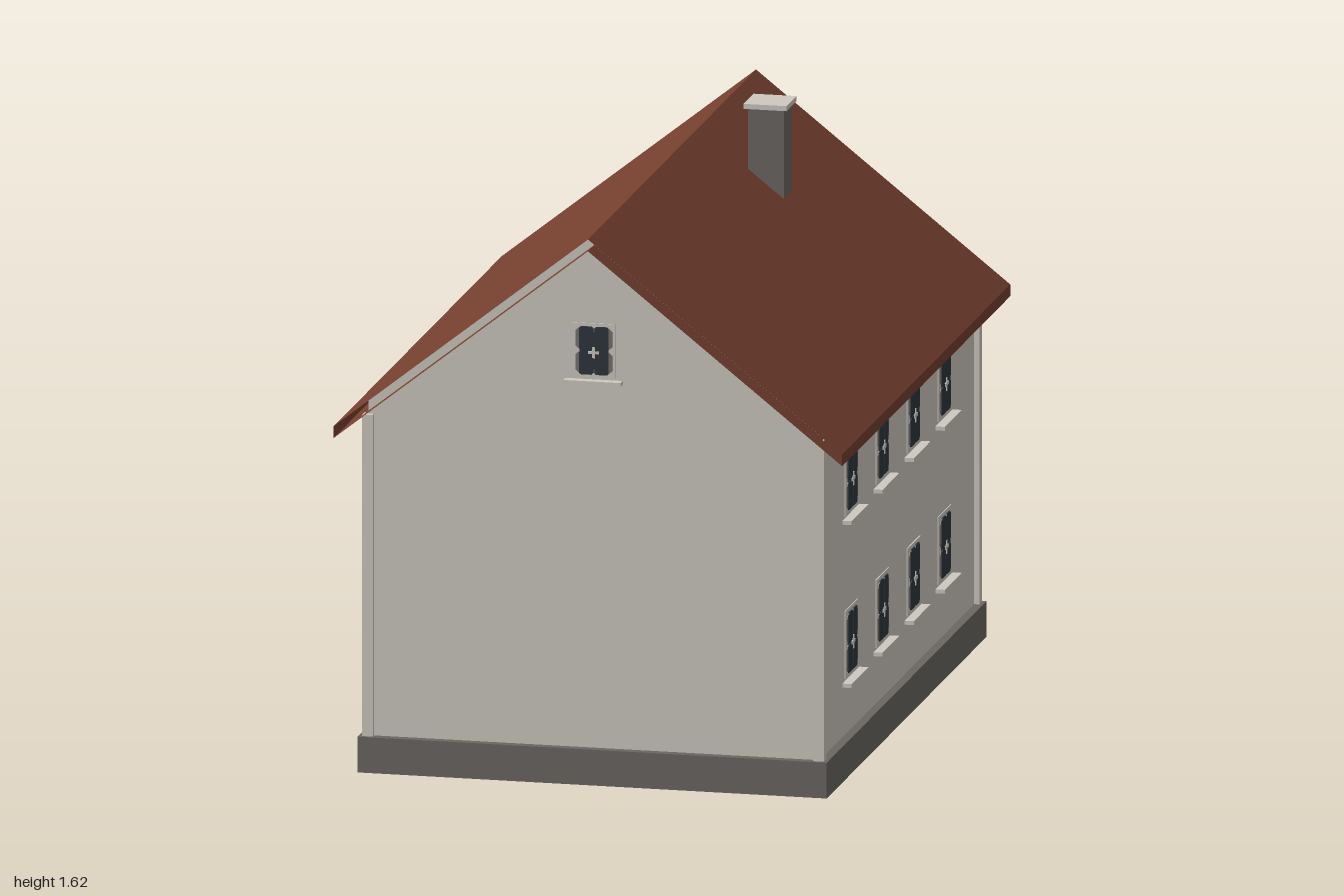
import * as THREE from 'three';

const mat = (name, color, side = THREE.FrontSide) => {
  const m = new THREE.MeshStandardMaterial({ color, side });
  m.name = name;
  return m;
};

export function createModel() {
  const house = new THREE.Group();
  house.name = 'house';

  const plaster = mat('plaster', 0xcdc9c0);
  const stone = mat('stone', 0x6a6662);
  const tile = mat('roofTile', 0x743e2e, THREE.DoubleSide);
  const glass = mat('glass', 0x2c353d);
  const shade = mat('paneSurround', 0x76706a);

  const add = (parent, name, geometry, material, x = 0, y = 0, z = 0) => {
    const mesh = new THREE.Mesh(geometry, material);
    mesh.name = name;
    mesh.position.set(x, y, z);
    parent.add(mesh);
    return mesh;
  };
  const box = (parent, name, w, h, d, material, x, y, z) =>
    add(parent, name, new THREE.BoxGeometry(w, h, d), material, x, y, z);

  // Foundation and gabled body
  box(house, 'foundation', 1.31, 0.1, 1.9, stone, 0, 0.05, 0);
  const gable = new THREE.Shape([
    [-0.63, 0.08], [0.63, 0.08], [0.63, 1.038], [0, 1.536], [-0.63, 1.038],
  ].map(([x, y]) => new THREE.Vector2(x, y)));
  add(house, 'walls', new THREE.ExtrudeGeometry(gable, { depth: 1.85, bevelEnabled: false }), plaster, 0, 0, -0.925);

  // Corner boards
  for (const sx of [-1, 1]) for (const sz of [-1, 1]) {
    box(house, 'cornerBoard', 0.03, 0.9, 0.03, plaster, sx * 0.63, 0.55, sz * 0.925);
  }

  // Roof shell with open gable ends
  const profile = [[0, 1.54], [0.71, 0.978], [0.71, 0.945], [0, 1.507], [-0.71, 0.945], [-0.71, 0.978]];
  const points = [];
  profile.forEach((a, i) => {
    const b = profile[(i + 1) % profile.length];
    const [p, q, r, s] = [[...a, 1], [...b, 1], [...b, -1], [...a, -1]];
    points.push(...p, ...q, ...r, ...p, ...r, ...s);
  });
  const roof = new THREE.BufferGeometry();
  roof.setAttribute('position', new THREE.Float32BufferAttribute(points, 3));
  roof.computeVertexNormals();
  add(house, 'roof', roof, tile);

  // Chimney
  box(house, 'chimney', 0.1, 0.32, 0.1, stone, 0.187, 1.44, -0.37);
  box(house, 'chimneyCap', 0.12, 0.014, 0.12, plaster, 0.187, 1.608, -0.37);

  // Plate with clipped corners
  const plate = (w, h, c, d) => {
    const x = w / 2, y = h / 2;
    const s = new THREE.Shape([
      [-x + c, -y], [x - c, -y], [x, -y + c], [x, y - c],
      [x - c, y], [-x + c, y], [-x, y - c], [-x, -y + c],
    ].map(([u, v]) => new THREE.Vector2(u, v)));
    return new THREE.ExtrudeGeometry(s, { depth: d, bevelEnabled: false });
  };

  // Window facing +z, with its back on the wall plane
  const addWindow = (x, y, z, turn, scale = 1) => {
    const w = new THREE.Group();
    w.name = 'window';
    box(w, 'frame', 0.15, 0.19, 0.004, plaster, 0, 0, 0.001);
    for (const v of [-1, 1]) {
      add(w, 'paneSurround', plate(0.128, 0.073, 0.01, 0.003), shade, 0, v * 0.042, 0.002);
      for (const u of [-1, 1]) {
        add(w, 'pane', plate(0.05, 0.082, 0.006, 0.004), glass, u * 0.027, v * 0.043, 0.003);
      }
    }
    box(w, 'paneCentre', 0.1, 0.02, 0.003, glass, 0, -0.002, 0.0045);
    box(w, 'paneCentreUpright', 0.02, 0.13, 0.003, glass, 0, 0, 0.0045);
    box(w, 'crossbar', 0.038, 0.009, 0.004, plaster, 0, -0.006, 0.007);
    box(w, 'mullion', 0.009, 0.038, 0.0042, plaster, 0, -0.006, 0.007);
    box(w, 'sill', 0.2, 0.011, 0.026, plaster, 0, -0.107, 0.013);
    w.position.set(x, y, z);
    w.rotation.y = turn;
    w.scale.set(scale, scale, 1);
    house.add(w);
  };

  // Two storeys of four on each long side, one in each gable
  for (const s of [-1, 1]) {
    for (const y of [0.352, 0.808]) for (const z of [0.557, 0.188, -0.183, -0.552]) {
      addWindow(s * 0.63, y, z, s * Math.PI / 2);
    }
    addWindow(0, 1.212, s * 0.925, s > 0 ? 0 : Math.PI, 0.8);
  }

  return house;
}
